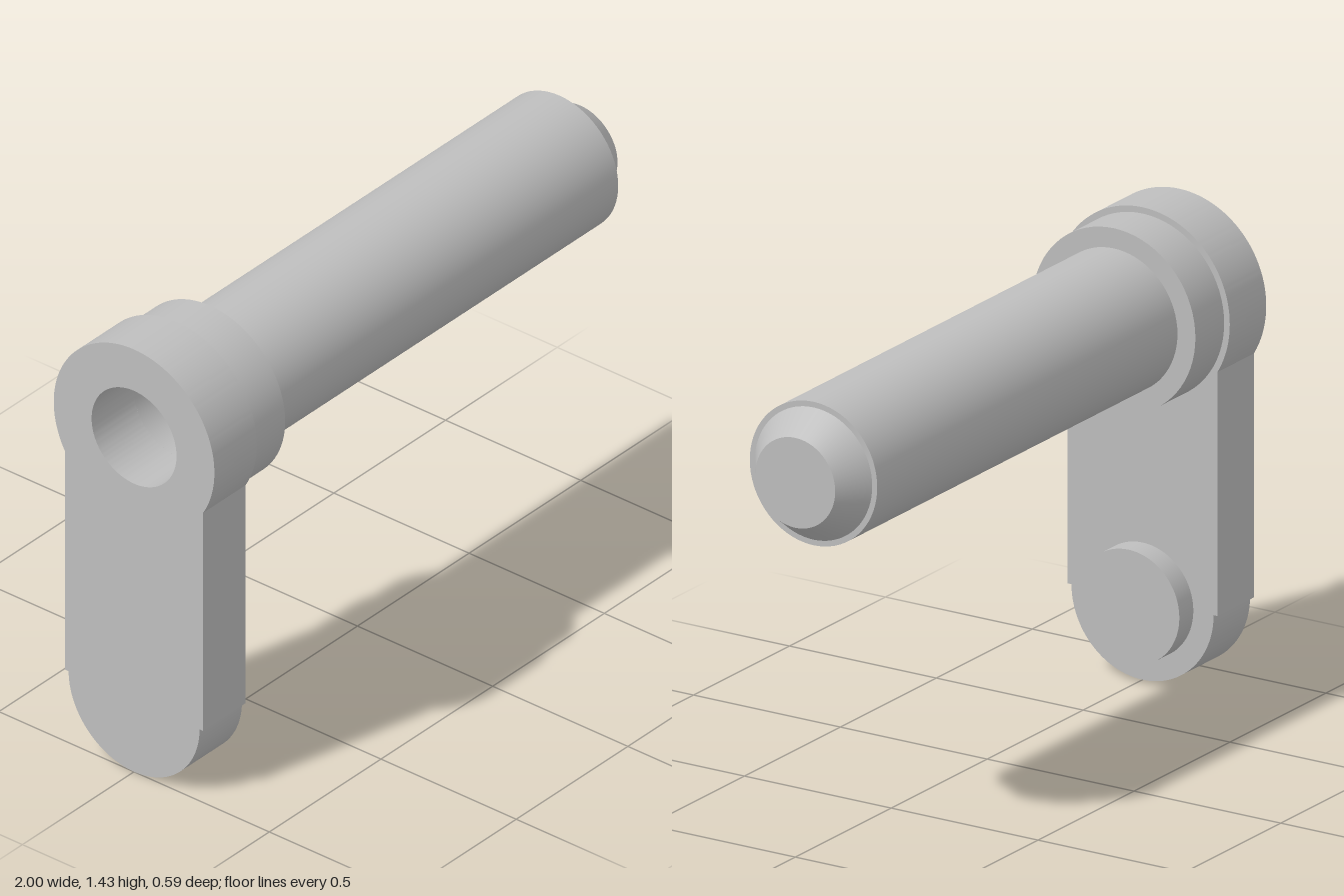
import * as THREE from 'three';
import { toCreasedNormals } from 'three/addons/utils/BufferGeometryUtils.js';

const PIN_Y = 1.132, PEG_Y = 0.242;   // heights of the two axes
const X0 = -1, X1 = -0.81;            // outer and inner face of the arm
const BORE = 0.157;

export function createModel() {
  const group = new THREE.Group();
  const steel = new THREE.MeshStandardMaterial({ color: 0xbebebe });
  steel.name = 'grey steel';

  const add = (name, geometry) => {
    const mesh = new THREE.Mesh(toCreasedNormals(geometry, 0.4), steel);
    mesh.name = name;
    group.add(mesh);
    return mesh;
  };

  // Solid of revolution about the x axis, profile given as [x, radius]
  const turned = (name, y, profile) => {
    const points = profile.map(([x, r]) => new THREE.Vector2(r, x));
    const geometry = new THREE.LatheGeometry(points, 72);
    geometry.rotateZ(-Math.PI / 2);
    add(name, geometry).position.y = y;
  };

  // Arm plate: round foot, slightly wider straight shank, large bored hub
  const footR = 0.242, half = 0.255, hubR = 0.297;
  const a = Math.acos(half / hubR);
  const outline = new THREE.Shape();
  outline.moveTo(-footR, PEG_Y);
  outline.absarc(0, PEG_Y, footR, Math.PI, 2 * Math.PI, false);
  outline.lineTo(half, PEG_Y);
  outline.absarc(0, PIN_Y, hubR, -a, Math.PI + a, false);
  outline.lineTo(-half, PEG_Y);
  outline.closePath();
  const bore = new THREE.Path();
  bore.absarc(0, PIN_Y, BORE, 0, 2 * Math.PI, true);
  outline.holes.push(bore);
  const plate = new THREE.ExtrudeGeometry(outline, {
    depth: X1 - X0, bevelEnabled: false, curveSegments: 72,
  });
  plate.rotateY(Math.PI / 2).translate(X0, 0, 0);
  add('arm', plate);

  // Pin: blind bore, collar, long shaft, stepped and tapered tip
  turned('pin', PIN_Y, [
    [0.5, 0], [0.5, BORE], [X1, BORE],
    [X1, 0.278], [-0.66, 0.278], [-0.66, 0.217],
    [0.905, 0.217], [0.905, 0.2], [1, 0.136], [1, 0],
  ]);

  // Short locating peg on the foot of the arm
  turned('peg', PEG_Y, [[X1, 0.173], [-0.737, 0.173], [-0.737, 0]]);

  return group;
}
